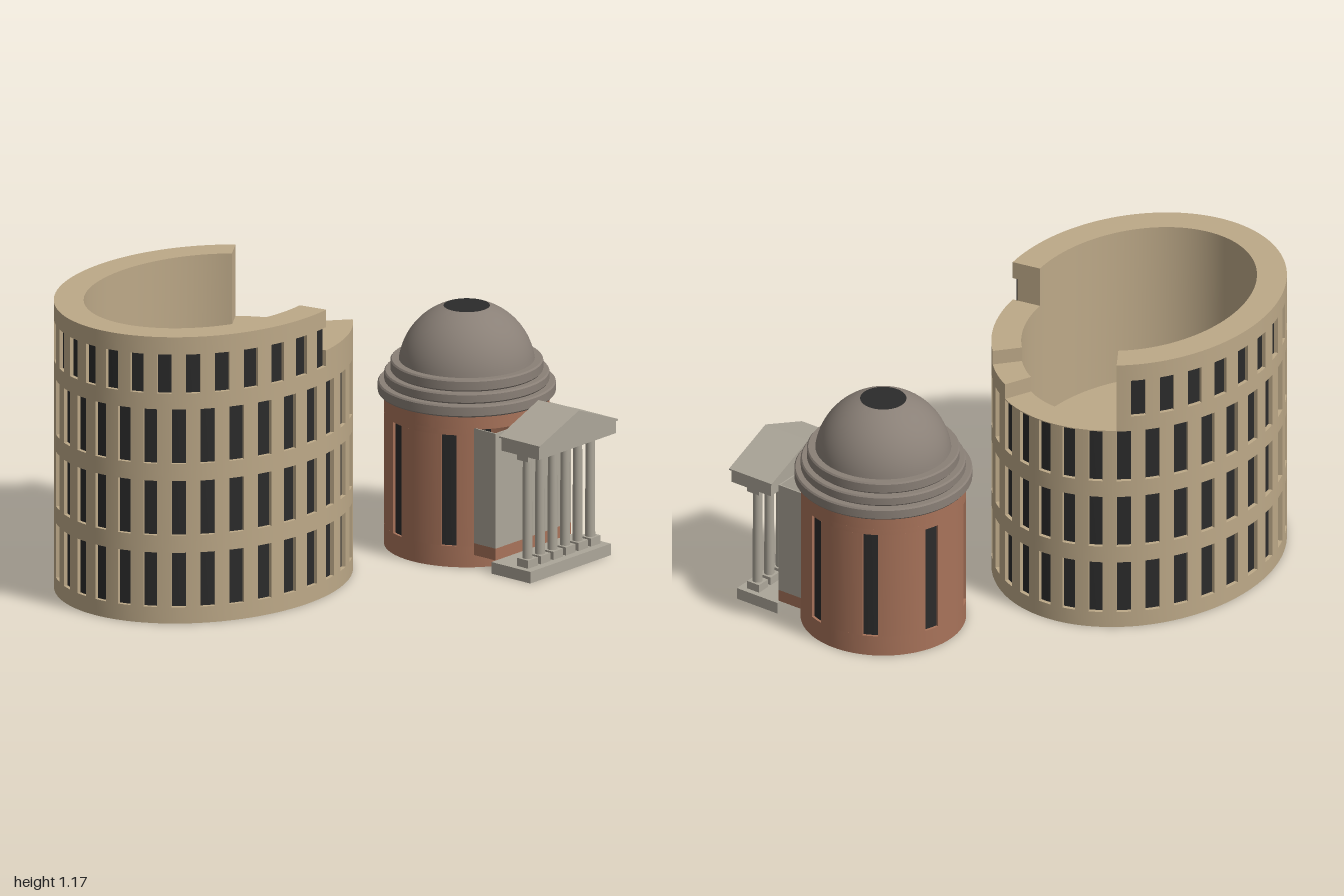
import * as THREE from 'three';
import { toCreasedNormals } from 'three/addons/utils/BufferGeometryUtils.js';

const mat = (name, color, side = THREE.FrontSide) => {
  const m = new THREE.MeshStandardMaterial({ color, side });
  m.name = name;
  return m;
};

// Collects curved blocks that follow an ellipse; angles run from +x toward +z
class RingBuilder {
  constructor(cx, cz, rx, rz, step) {
    Object.assign(this, { cx, cz, rx, rz, step, data: [] });
  }
  point(t, d, y) {
    return [this.cx + (this.rx - d) * Math.cos(t), y, this.cz + (this.rz - d) * Math.sin(t)];
  }
  quad(a, b, c, d) {
    this.data.push(...a, ...b, ...c, ...a, ...c, ...d);
  }
  // d0 and d1 are the insets of the outer and inner faces
  block(t0, t1, y0, y1, d0, d1) {
    const n = Math.max(1, Math.round((t1 - t0) / this.step));
    for (let i = 0; i < n; i++) {
      const s = t0 + ((t1 - t0) * i) / n, e = t0 + ((t1 - t0) * (i + 1)) / n;
      const p = (t, d, y) => this.point(t, d, y);
      this.quad(p(s, d0, y0), p(s, d0, y1), p(e, d0, y1), p(e, d0, y0));
      this.quad(p(s, d1, y0), p(e, d1, y0), p(e, d1, y1), p(s, d1, y1));
      this.quad(p(s, d0, y1), p(s, d1, y1), p(e, d1, y1), p(e, d0, y1));
      this.quad(p(s, d0, y0), p(e, d0, y0), p(e, d1, y0), p(s, d1, y0));
      if (i === 0) this.quad(p(s, d0, y0), p(s, d1, y0), p(s, d1, y1), p(s, d0, y1));
      if (i === n - 1) this.quad(p(e, d0, y0), p(e, d0, y1), p(e, d1, y1), p(e, d1, y0));
    }
  }
  mesh(name, material) {
    const g = new THREE.BufferGeometry();
    g.setAttribute('position', new THREE.Float32BufferAttribute(this.data, 3));
    const m = new THREE.Mesh(toCreasedNormals(g, 0.5), material);
    m.name = name;
    return m;
  }
}

export function createModel() {
  const root = new THREE.Group();
  const tan = mat('travertine', 0xbda988, THREE.DoubleSide);
  const dark = mat('dark opening', 0x2b2b2b, THREE.DoubleSide);
  const brick = mat('brick', 0xa8735a, THREE.DoubleSide);
  const lead = mat('dome grey', 0x8a8077, THREE.DoubleSide);
  const stone = mat('pale stone', 0xaca699, THREE.DoubleSide);

  const add = (parent, name, geo, material, x = 0, y = 0, z = 0) => {
    const m = new THREE.Mesh(geo, material);
    m.name = name;
    m.position.set(x, y, z);
    parent.add(m);
    return m;
  };
  // Box given by its limits
  const box = (parent, name, material, x0, x1, y0, y1, z0, z1) =>
    add(parent, name, new THREE.BoxGeometry(x1 - x0, y1 - y0, z1 - z0), material,
      (x0 + x1) / 2, (y0 + y1) / 2, (z0 + z1) / 2);

  // ---- Oval arena ----
  const arena = new THREE.Group();
  arena.name = 'arena';
  root.add(arena);
  const BAY = (Math.PI * 2) / 32, STOREY = 0.2917, SKIN = 0.02, THICK = 0.117;
  const CX = -0.355, CZ = -0.265, RX = 0.645, RZ = 0.53;
  const wall = new RingBuilder(CX, CZ, RX, RZ, BAY / 4);
  const panes = new RingBuilder(CX, CZ, RX, RZ, BAY / 4);
  const openings = (from, to, shift, y0, y1) => {
    for (let k = from; k < to; k++) {
      const a = (k + shift) * BAY, b = (k + shift + 0.5) * BAY;
      panes.block(a, b, y0, y1, 0.016, SKIN);
      const c = shift ? k * BAY : b;
      wall.block(c, c + BAY / 2, y0, y1, 0, SKIN);
    }
  };
  // Three full storeys
  for (let s = 0; s < 3; s++) {
    const y = s * STOREY;
    wall.block(0, 32 * BAY, y, y + 0.066, 0, SKIN);
    openings(0, 32, 0.5, y + 0.066, y + 0.288);
    wall.block(0, 32 * BAY, y + 0.288, y + STOREY, 0, SKIN);
  }
  // Upper storey, only around the back
  const LOW = 3 * STOREY, TOP = 1.166;
  wall.block(7 * BAY, 29 * BAY, LOW, 0.936, 0, SKIN);
  openings(7, 29, 0, 0.936, 1.095);
  wall.block(7 * BAY, 29 * BAY, 1.095, TOP, 0, SKIN);
  wall.block(7 * BAY, 29 * BAY, 0.85, TOP, SKIN, THICK);
  // Broken steps down to the low side
  for (const [a, b, top] of [[3.5, 7, 1.0], [2, 3.5, 0.94], [-3, 2, LOW]]) {
    wall.block(a * BAY, b * BAY, 0.85, top, SKIN, THICK);
    if (top > LOW) wall.block(a * BAY, b * BAY, LOW, top, 0, SKIN);
  }
  // Inner wall and floor
  wall.block(0, 32 * BAY, 0.5, 0.85, THICK - 0.005, THICK);
  arena.add(wall.mesh('arenaWall', tan), panes.mesh('arenaOpenings', dark));
  const floor = add(arena, 'arenaFloor', new THREE.CircleGeometry(1, 96), tan, CX, 0.5, CZ);
  floor.rotation.x = -Math.PI / 2;
  floor.scale.set(RX - THICK, RZ - THICK, 1);

  // ---- Domed rotunda ----
  const rotunda = new THREE.Group();
  rotunda.name = 'rotunda';
  root.add(rotunda);
  const X = 0.65, Z = 0.222, R = 0.322, D = Math.PI / 180;
  const drum = new RingBuilder(X, Z, R, R, 4 * D);
  const slits = new RingBuilder(X, Z, R, R, 4 * D);
  drum.block(0, 360 * D, 0, 0.085, 0, 0.015);
  drum.block(0, 360 * D, 0.56, 0.63, 0, 0.015);
  drum.block(134.4 * D, 405.6 * D, 0.537, 0.56, 0, 0.015);
  let start = 134.4;
  for (let c = 152; c < 400; c += 45) {
    drum.block(start * D, (c - 5.4) * D, 0.085, 0.537, 0, 0.015);
    slits.block((c - 5.4) * D, (c + 5.4) * D, 0.085, 0.537, 0.011, 0.015);
    start = c + 5.4;
  }
  drum.block(start * D, 405.6 * D, 0.085, 0.537, 0, 0.015);
  rotunda.add(drum.mesh('drum', brick), slits.mesh('drumWindows', dark));

  // Stepped cornice with softened edges, then the dome
  const lathe = (name, pts, material) => add(rotunda, name, toCreasedNormals(
    new THREE.LatheGeometry(pts.map(([r, y]) => new THREE.Vector2(r, y)), 72), 0.5), material, X, 0, Z);
  const cornice = [[0.307, 0.617]];
  for (const [r, y0, y1] of [[0.346, 0.617, 0.664], [0.321, 0.664, 0.706], [0.297, 0.706, 0.753]]) {
    cornice.push([r - 0.005, y0], [r, y0 + 0.006], [r, y1 - 0.006], [r - 0.005, y1]);
  }
  cornice.push([0.25, 0.753]);
  lathe('cornice', cornice, lead);
  const dome = [];
  const a0 = Math.asin(0.038 / 0.267), a1 = Math.acos(0.09 / 0.267);
  for (let i = 0; i <= 16; i++) {
    const a = a0 + ((a1 - a0) * i) / 16;
    dome.push([0.267 * Math.cos(a), 0.715 + 0.267 * Math.sin(a)]);
  }
  lathe('dome', dome, lead);
  const eye = add(rotunda, 'oculus', new THREE.CircleGeometry(0.09, 48), dark, X, 0.9665, Z);
  eye.rotation.x = -Math.PI / 2;

  // ---- Porch ----
  const porch = new THREE.Group();
  porch.name = 'porch';
  root.add(porch);
  // Link between drum and porch, open above
  box(porch, 'linkFront', stone, 0.425, 0.875, 0.098, 0.566, 0.556, 0.562);
  for (const x of [0.425, 0.869]) box(porch, 'linkSide', stone, x, x + 0.006, 0.098, 0.566, 0.44, 0.558);
  box(porch, 'sill', brick, 0.425, 0.875, 0.05, 0.098, 0.445, 0.561);
  // Plinth, hollow underneath
  const plinth = box(porch, 'plinth', stone, 0.407, 0.889, 0, 0.047, 0.556, 0.754);
  const idx = Array.from(plinth.geometry.index.array);
  plinth.geometry.setIndex([...idx.slice(0, 18), ...idx.slice(24)]);
  plinth.geometry.clearGroups();
  // Six columns
  for (let i = 0; i < 6; i++) {
    const column = new THREE.Group();
    column.name = 'column';
    column.position.set(X + (i - 2.5) * 0.075, 0, 0.692);
    porch.add(column);
    box(column, 'columnBase', stone, -0.029, 0.029, 0.047, 0.08, -0.029, 0.029);
    add(column, 'shaft', new THREE.CylinderGeometry(0.018, 0.02, 0.4, 20), stone, 0, 0.28, 0);
    box(column, 'capital', stone, -0.029, 0.029, 0.48, 0.506, -0.029, 0.029);
  }
  box(porch, 'entablature', stone, 0.42, 0.88, 0.506, 0.559, 0.596, 0.787);
  // Triangular pediment
  const gable = new THREE.Shape([[-0.235, 0], [0.235, 0], [0.235, 0.006], [0, 0.097], [-0.235, 0.006]]
    .map(([x, y]) => new THREE.Vector2(x, y)));
  add(porch, 'pediment', new THREE.ExtrudeGeometry(gable, { depth: 0.207, bevelEnabled: false }),
    stone, X, 0.558, 0.588);
  return root;
}
